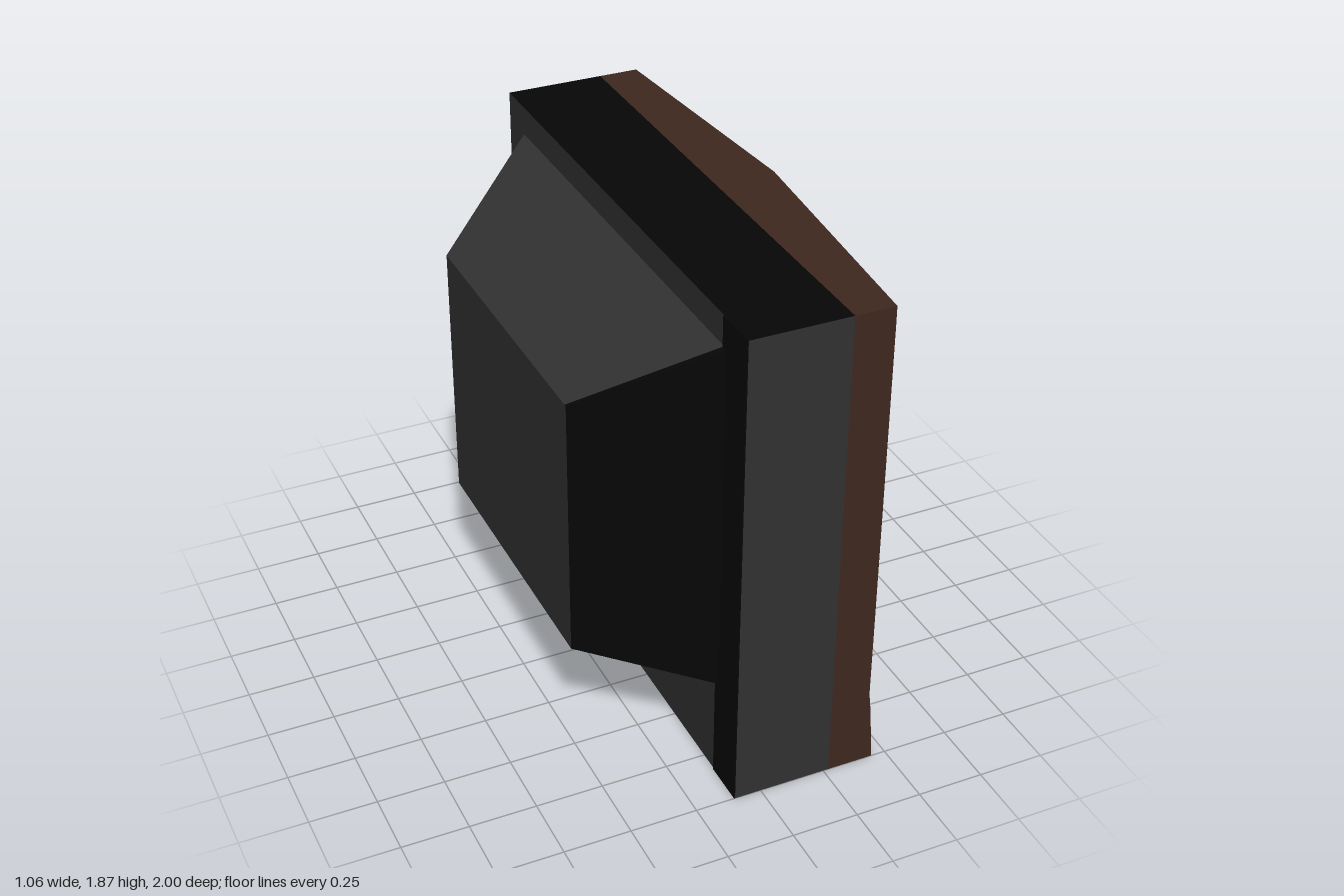
import * as THREE from 'three';

const flat = (name, color) => {
  const m = new THREE.MeshStandardMaterial({ color, side: THREE.DoubleSide });
  m.name = name;
  return m;
};

// Flat-shaded mesh from a list of convex faces
function faceMesh(name, faces, material) {
  const pos = [];
  for (const f of faces) {
    for (let i = 1; i < f.length - 1; i++) pos.push(...f[0], ...f[i], ...f[i + 1]);
  }
  const g = new THREE.BufferGeometry();
  g.setAttribute('position', new THREE.Float32BufferAttribute(pos, 3));
  g.computeVertexNormals();
  const mesh = new THREE.Mesh(g, material);
  mesh.name = name;
  return mesh;
}

// Faces joining two closed rings of equal length
const bridge = (a, b) => a.map((p, i) => {
  const j = (i + 1) % a.length;
  return [p, a[j], b[j], b[i]];
});

// Rectangle facing +x; bridged sides run bottom, -z, top, +z
const rectRing = (x, y0, y1, z) => [[x, y0, z], [x, y0, -z], [x, y1, -z], [x, y1, z]];

function plate(name, x, y0, y1, z0, z1, material) {
  const mesh = new THREE.Mesh(new THREE.BoxGeometry(0.004, y1 - y0, z1 - z0), material);
  mesh.position.set(x, (y0 + y1) / 2, (z0 + z1) / 2);
  mesh.name = name;
  return mesh;
}

export function createModel() {
  const grey = flat('charcoal plastic', 0x323232);
  const black = flat('black', 0x060606);
  const brown = flat('dark brown', 0x3f281f);
  const taupe = flat('taupe buttons', 0x766a64);
  const tv = new THREE.Group();
  tv.name = 'television';
  const top = 1.865;

  // Main case, open at the front, with a black top and a black strip at the back
  const caseBack = rectRing(-0.1, 0, top, 1);
  const [under, right, lid, left] = bridge(caseBack, rectRing(0.27, 0, top, 1));
  tv.add(faceMesh('case', [under, right, left, [...caseBack].reverse()], grey));
  tv.add(faceMesh('caseTop', [lid], black));
  tv.add(plate('backStrip', -0.102, 0, top, 0.83, 1, black));

  // Tapered tube housing, black on one side and along its upper edge
  const base = rectRing(-0.1, 0.41, 1.755, 0.86);
  const rear = rectRing(-0.53, 0.49, 1.487, 0.56);
  const [below, side, above, blackSide] = bridge(rear, base);
  const baseSplit = [-0.1, 1.755, 0.833], rearSplit = [-0.53, 1.487, 0.55];
  tv.add(faceMesh('tubeHousing', [below, side, [above[0], rearSplit, baseSplit, above[3]],
    [...rear].reverse()], grey));
  tv.add(faceMesh('tubeHousingSide', [blackSide, [rearSplit, rear[3], base[3], baseSplit]], black));

  // Brown surround: its outer edge bulges forward in the middle
  const front = [
    [0.445, 0, 1], [0.455, 0, 0], [0.445, 0, -1], [0.43, 0.21, -1], [0.42, 0.295, -1],
    [0.42, top, -1], [0.5, top, 0], [0.42, top, 1], [0.42, 0.295, 1], [0.43, 0.21, 1],
  ];
  const seam = front.map(([, y, z]) => [0.27, y, z]);
  tv.add(faceMesh('surround', bridge(seam, front), brown));

  // Sloping bezel, with flat triangles fanned from the middle of its long edges
  const o = [[0.42, 0.295, 1], [0.455, 0.295, 0], [0.42, 0.295, -1],
    [0.42, top, -1], [0.5, top, 0], [0.42, top, 1]];
  const inner = rectRing(0.5, 0.437, 1.722, 0.872);
  const [i0, i1, i2, i3] = inner;
  tv.add(faceMesh('bezel', [
    [o[0], o[1], i0], [o[1], i1, i0], [o[1], o[2], i1], [o[2], o[3], i2, i1],
    [o[3], o[4], i2], [o[4], i3, i2], [o[4], o[5], i3], [o[5], o[0], i0, i3],
  ], brown));

  // Deep recess and screen
  const screen = rectRing(0.15, 0.437, 1.722, 0.822);
  tv.add(faceMesh('recess', bridge(inner, screen), brown));
  tv.add(faceMesh('screen', [screen], brown));
  tv.add(faceMesh('screenMarkUpper', [[[0.154, 1.445, 0.09], [0.154, 1.442, 0],
    [0.154, 1.46, -0.16], [0.154, 1.475, -0.16], [0.154, 1.463, 0.12]]], grey));
  tv.add(plate('screenMarkLower', 0.153, 0.63, 0.665, -0.52, -0.35, grey));

  // Control panel below the screen, with a soft ridge
  const zs = [1, 0.8, 0.4, 0, -1];
  const rows = [
    [0, [0.445, 0.447, 0.451, 0.455, 0.445]],
    [0.21, [0.43, 0.47, 0.47, 0.462, 0.43]],
    [0.295, [0.42, 0.427, 0.441, 0.455, 0.42]],
  ].map(([y, xs]) => xs.map((x, i) => [x, y, zs[i]]));
  const panel = [];
  for (let r = 0; r < 2; r++) {
    for (let i = 0; i < 4; i++) {
      panel.push([rows[r][i], rows[r][i + 1], rows[r + 1][i + 1], rows[r + 1][i]]);
    }
  }
  tv.add(faceMesh('controlPanel', panel, grey));
  tv.add(faceMesh('slot', [[[0.463, 0.085, 0.82], [0.463, 0.085, 0.05],
    [0.473, 0.215, 0.05], [0.473, 0.215, 0.82]]], black));

  // Double-arrow buttons, mirrored about their gap
  const arrow = [[0, 0.16], [0.15, 0.257], [0.15, 0.235], [0.212, 0.265],
    [0.212, 0.07], [0.15, 0.1], [0.15, 0.07]];
  for (const [name, tip, dir, depth, tilt] of [
    ['arrowButtonLeft', 0.226, 1, 0.075, 0], ['arrowButtonRight', 0.766, -1, 0.082, 0.06]]) {
    const pts = arrow.map(([u, y]) => new THREE.Vector2(tip + dir * u, y));
    const g = new THREE.ExtrudeGeometry(new THREE.Shape(pts), { depth, bevelEnabled: false });
    // Lean the face of the button back towards its tip
    const p = g.attributes.position;
    for (let i = 0; i < p.count; i++) {
      if (p.getZ(i) > 0.01) p.setZ(i, p.getZ(i) + tilt * (0.66 - p.getX(i)));
    }
    g.computeVertexNormals();
    const mesh = new THREE.Mesh(g, taupe);
    mesh.name = name;
    mesh.rotation.y = Math.PI / 2;
    mesh.position.x = 0.44;
    tv.add(mesh);
  }
  return tv;
}
